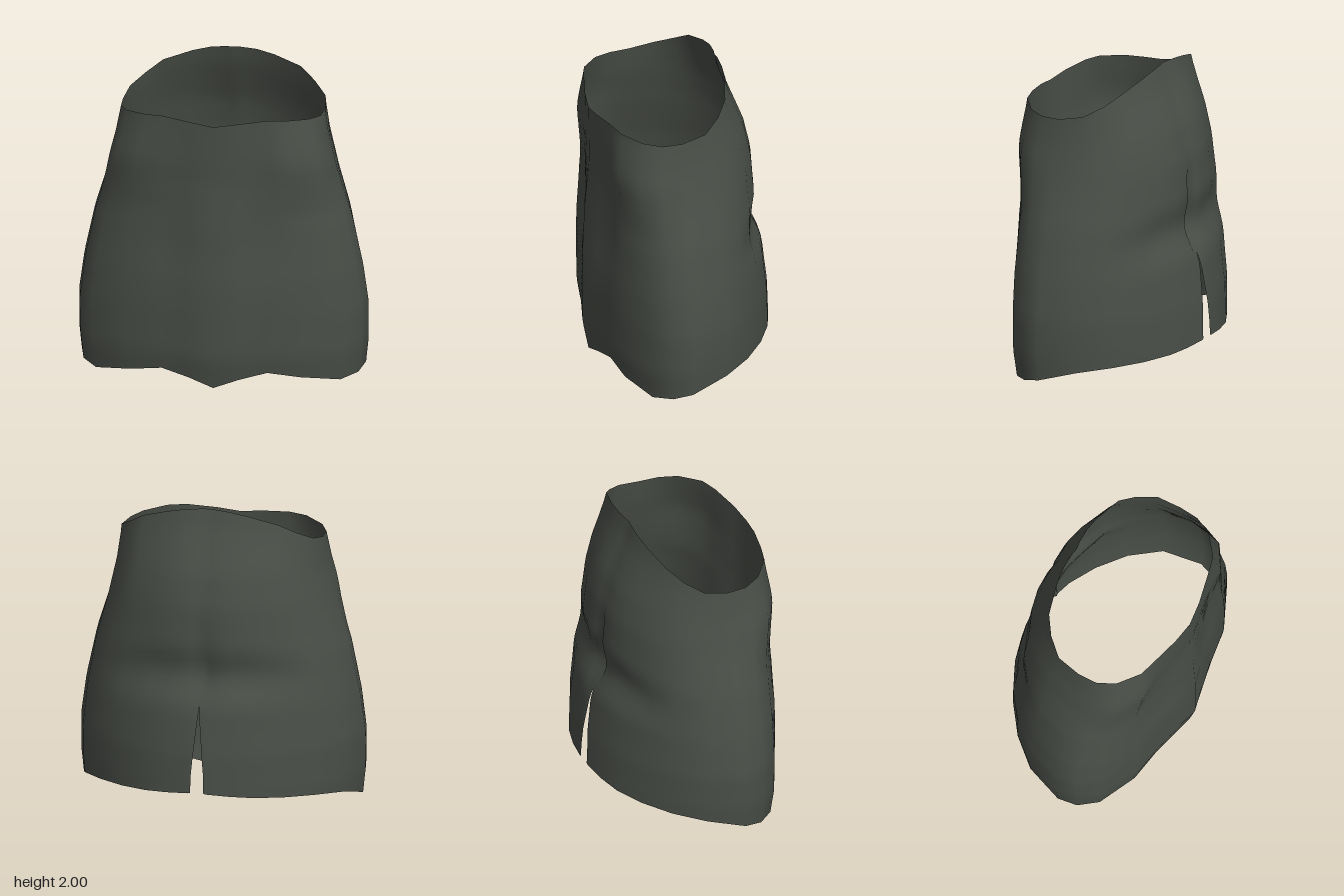
import * as THREE from 'three';
import { mergeVertices } from 'three/addons/utils/BufferGeometryUtils.js';

// Half cross-sections [x, z], front centre to back centre, as fractions of the profile sizes
const TOP = [[0, 1], [.23, .96], [.52, .86], [.7, .78], [.9, .53], [.985, .28], [1, 0], [.97, -.34],
  [.84, -.6], [.69, -.805], [.41, -.95], [.23, -1], [.07, -1], [0, -.98]];
const HEM = [[0, 1], [.18, .92], [.37, .84], [.6, .77], [.865, .52], [.97, .27], [1, 0], [.92, -.34],
  [.76, -.59], [.57, -.78], [.38, -.91], [.22, -.97], [.065, -1], [0, -1]];
// Heights of the waist edge and the hem edge along the same points
const TOP_Y = [1.735, 1.755, 1.775, 1.77, 1.755, 1.745, 1.75, 1.785, 1.845, 1.91, 1.965, 1.99, 2, 2];
const HEM_Y = [0, .055, .1, .07, .03, .05, .08, .15, .17, .18, .19, .2, .21, .215];
// How strongly each point follows the hip bones, the front hollows and the crease below the seat
const HIP = [0, 0, .2, .8, 1, .6, .1, 0, 0, 0, 0, 0, 0, 0];
const HOLLOW = [0, .7, 1, .2, 0, 0, 0, 0, 0, 0, 0, 0, 0, 0];
const CREASE = [0, 0, 0, 0, 0, 0, 0, 0, 0, .4, 1, 1, 1, 1];
// Profiles [height, size] measured from the middle of the body
const SIDE = [[0, .9], [.05, .905], [.24, .925], [.48, .925], [.73, .89], [1.05, .82], [1.33, .73],
  [1.57, .67], [1.75, .645], [2, .635]];
const FRONT = [[0, .44], [.2, .48], [.7, .48], [1.05, .465], [1.36, .435], [1.78, .44], [2, .44]];
const BACK = [[0, .7], [.22, .7], [.45, .69], [.6, .67], [.8, .645], [.95, .62], [1.2, .59],
  [1.4, .575], [1.6, .53], [1.88, .42], [2, .39]];
const MID_Z = .11;
const ROWS = 32;

const { lerp, smoothstep, clamp } = THREE.MathUtils;

function sample(profile, y) {
  let k = 0;
  while (k < profile.length - 2 && y > profile[k + 1][0]) k++;
  const [y0, a] = profile[k], [y1, b] = profile[k + 1];
  return lerp(a, b, clamp((y - y0) / (y1 - y0), 0, 1));
}

// Smooth swell of height 1 around a level
const swell = (y, level, reach) => 1 - smoothstep(Math.abs(y - level), 0, reach);

function skirtPoint(i, v, sign) {
  const y = lerp(TOP_Y[i], HEM_Y[i], v);
  const t = smoothstep(y, .2, 1.8);
  const fx = lerp(HEM[i][0], TOP[i][0], t), fz = lerp(HEM[i][1], TOP[i][1], t);
  const hip = HIP[i] * swell(y, 1.46, .38);
  let x = fx * sample(SIDE, y) + .025 * hip;
  let z = MID_Z + fz * sample(fz > 0 ? FRONT : BACK, y) + .05 * hip;
  z -= .03 * HOLLOW[i] * swell(y, 1, .5);
  z += .05 * CREASE[i] * swell(y, .95, .22);
  if (i === TOP.length - 1) {
    // Back seam sinks in, then opens into a slit
    x = .042 * clamp((.76 - y) / .45, 0, 1);
    z += .04 * smoothstep(y, .65, .95) * (1 - smoothstep(y, 1.1, 1.42));
  }
  return [sign * x, y, z];
}

function skirtGeometry() {
  const last = TOP.length - 1, columns = 2 * last + 1;
  const positions = [], index = [];
  for (let j = 0; j <= ROWS; j++) {
    for (let c = -last; c <= last; c++) positions.push(...skirtPoint(Math.abs(c), j / ROWS, c < 0 ? -1 : 1));
  }
  for (let j = 0; j < ROWS; j++) {
    for (let c = 0; c < columns - 1; c++) {
      const a = j * columns + c, b = a + columns;
      index.push(a, b, a + 1, b, b + 1, a + 1);
    }
  }
  let geometry = new THREE.BufferGeometry();
  geometry.setAttribute('position', new THREE.Float32BufferAttribute(positions, 3));
  geometry.setIndex(index);
  // Join the back seam where it is closed
  geometry = mergeVertices(geometry, 1e-4);
  geometry.computeVertexNormals();
  return geometry;
}

export function createModel() {
  const cloth = new THREE.MeshStandardMaterial({ color: 0x4a4f48, side: THREE.DoubleSide });
  cloth.name = 'dark grey cloth';
  const skirt = new THREE.Mesh(skirtGeometry(), cloth);
  skirt.name = 'skirt';
  const group = new THREE.Group();
  group.name = 'slitSkirt';
  group.add(skirt);
  return group;
}
